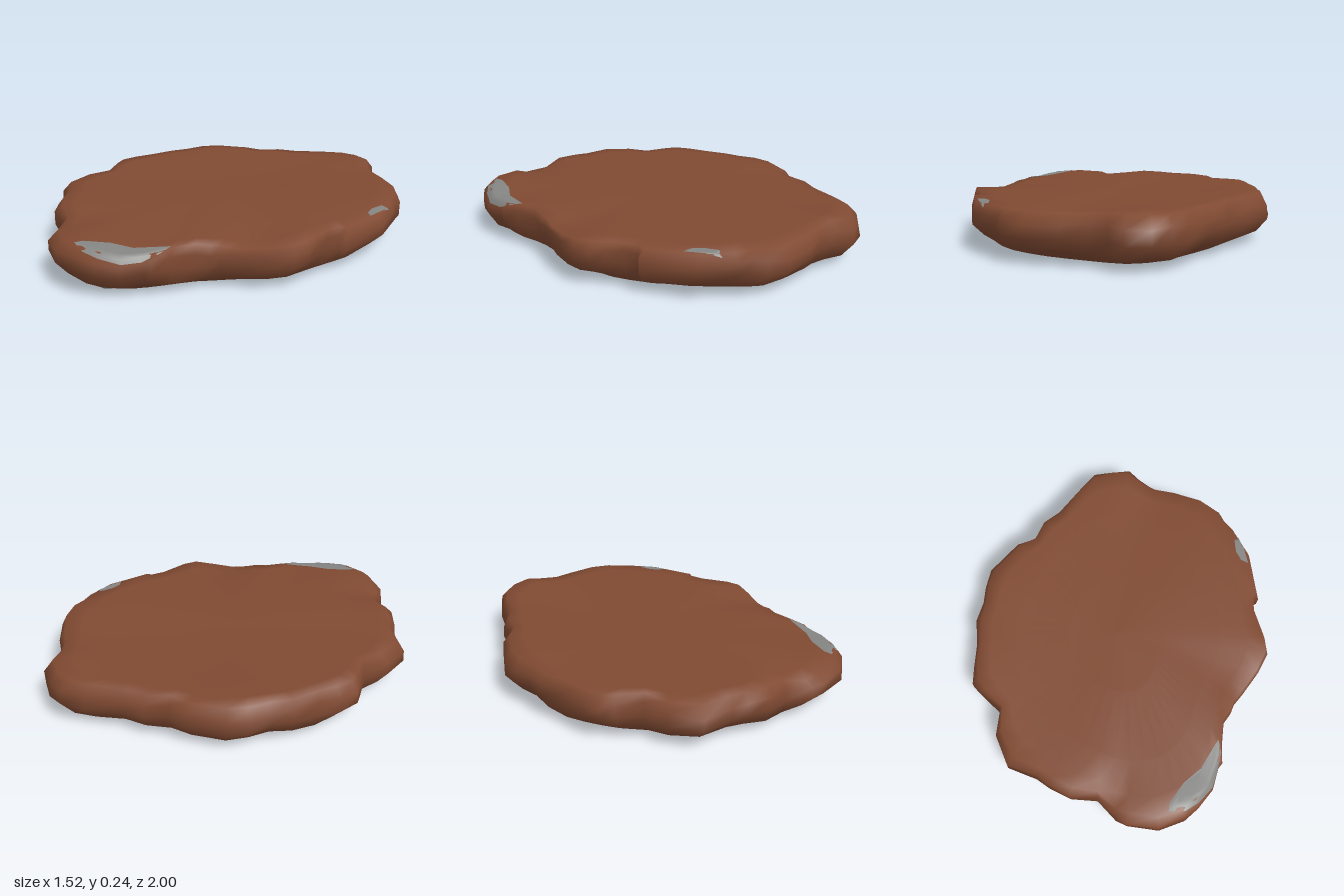
import * as THREE from 'three';

// Plan outline of the slab, (x, z), starting at the back and passing the +x side
const OUTLINE = [
  [0.04, -1], [0.15, -0.98], [0.2, -0.91], [0.28, -0.85], [0.39, -0.82], [0.54, -0.75], [0.62, -0.67],
  [0.64, -0.61], [0.68, -0.56], [0.75, -0.4], [0.76, -0.14], [0.73, -0.13], [0.72, -0.06], [0.74, 0.02],
  [0.76, 0.09], [0.76, 0.17], [0.7, 0.26], [0.61, 0.36], [0.55, 0.42], [0.53, 0.46], [0.485, 0.51],
  [0.46, 0.62], [0.45, 0.71], [0.43, 0.73], [0.39, 0.83], [0.31, 0.91], [0.24, 0.96], [0.11, 0.995],
  [-0.04, 0.96], [-0.09, 0.93], [-0.17, 0.83], [-0.3, 0.81], [-0.4, 0.75], [-0.46, 0.7], [-0.6, 0.63],
  [-0.65, 0.48], [-0.63, 0.35], [-0.72, 0.25], [-0.76, 0.2], [-0.76, 0.11], [-0.74, 0], [-0.73, -0.14],
  [-0.7, -0.24], [-0.69, -0.34], [-0.65, -0.43], [-0.5, -0.57], [-0.41, -0.6], [-0.35, -0.7],
  [-0.26, -0.76], [-0.14, -0.9], [-0.05, -0.98],
];

// Rings from underside to top: [scale, height, outline smoothing 0..1, top amount 0..1]
const RINGS = [
  [0.45, 0.018, 1, 0], [0.8, 0.018, 1, 0], [0.89, 0.02, 0.9, 0], [0.965, 0.058, 0.4, 0],
  [1, 0.122, 0, 0], [0.99, 0.182, 0, 0.4], [0.955, 0.228, 0.15, 1], [0.88, 0.23, 0.4, 1],
  [0.72, 0.228, 0.8, 1], [0.35, 0.226, 1, 1],
];

const bump = (x, z, cx, cz, w) => Math.exp(-((x - cx) ** 2 + (z - cz) ** 2) / (w * w));

// Local dents and swellings of the top and underside
function reliefTop(x, z) {
  return 0.016 * bump(x, z, 0.12, -0.88, 0.14) - 0.045 * bump(x, z, -0.12, 0.85, 0.09)
    - 0.03 * bump(x, z, 0.6, 0.3, 0.13) - 0.022 * bump(x, z, 0.4, 0.78, 0.14)
    + 0.008 * bump(x, z, -0.58, -0.35, 0.15) + 0.004 * Math.sin(7 * x + 4 * z);
}
const reliefBottom = (x, z) =>
  -0.018 * bump(x, z, 0.27, 0.76, 0.15) - 0.009 * bump(x, z, 0.05, -0.84, 0.18);

function slabGeometry() {
  const n = OUTLINE.length;
  const smooth = OUTLINE.map((_, i) => {
    const sum = [0, 0];
    for (let k = -3; k <= 3; k++) {
      const p = OUTLINE[(i + k + n) % n];
      sum[0] += p[0] / 7;
      sum[1] += p[1] / 7;
    }
    return sum;
  });
  const pos = [];
  const index = [];
  RINGS.forEach(([scale, height, blend, top], k) => {
    OUTLINE.forEach((p, i) => {
      let x = THREE.MathUtils.lerp(p[0], smooth[i][0], blend);
      let z = THREE.MathUtils.lerp(p[1], smooth[i][1], blend);
      // The +x side stands upright, the back leans in
      const lean = k === 6 || k === 5 ? 0.035 * x / Math.hypot(x, z) * (x > 0 ? 1 : 0) : 0;
      const chip = k > 2 && k < 6 && k !== 4 ? 0.008 * Math.sin(i * 1.9 + k * 2.3) : 0;
      const s = Math.min(scale + lean + chip, 1);
      x *= s;
      z *= s;
      const wave = k > 2 && k < 6 ? 0.01 * Math.sin(i * 1.3 + k) : 0;
      const y = height + wave + top * reliefTop(x, z) + (k < 4 ? reliefBottom(x, z) : 0);
      pos.push(x, Math.max(y, 0), z);
    });
  });
  for (let k = 0; k < RINGS.length - 1; k++) {
    for (let i = 0; i < n; i++) {
      const j = (i + 1) % n;
      const a = k * n + i, b = k * n + j, c = a + n, d = b + n;
      index.push(a, c, b, b, c, d);
    }
  }
  // Close the underside and the top
  const low = pos.length / 3, high = low + 1, last = (RINGS.length - 1) * n;
  pos.push(0, 0.018, 0, 0, 0.225, 0);
  for (let i = 0; i < n; i++) {
    const j = (i + 1) % n;
    index.push(low, i, j, high, last + j, last + i);
  }
  const g = new THREE.BufferGeometry();
  g.setAttribute('position', new THREE.Float32BufferAttribute(pos, 3));
  g.setIndex(index);
  g.computeVertexNormals();
  return g;
}

// A thin patch draped over the slab, from above (side 1) or below (side -1)
function patchGeometry(points, slab, side) {
  const ray = new THREE.Raycaster();
  const pos = [];
  const index = [];
  const n = points.length, steps = 6;
  const cx = points.reduce((s, p) => s + p[0], 0) / n;
  const cz = points.reduce((s, p) => s + p[1], 0) / n;
  const drape = (x, z) => {
    ray.set(new THREE.Vector3(x, side * 2, z), new THREE.Vector3(0, -side, 0));
    const hit = ray.intersectObject(slab)[0];
    const p = hit ? hit.point.addScaledVector(hit.face.normal, 0.004) : new THREE.Vector3(x, 0.18, z);
    pos.push(p.x, Math.max(p.y, 0), p.z);
  };
  drape(cx, cz);
  for (let k = 1; k <= steps; k++) {
    for (const [x, z] of points) drape(cx + (x - cx) * k / steps, cz + (z - cz) * k / steps);
  }
  for (let i = 0; i < n; i++) {
    const j = (i + 1) % n;
    const add = (a, b, c) => (side > 0 ? index.push(a, b, c) : index.push(a, c, b));
    add(0, 1 + j, 1 + i);
    for (let k = 0; k < steps - 1; k++) {
      const a = 1 + k * n + i, b = 1 + k * n + j;
      add(a, b, a + n);
      add(b, b + n, a + n);
    }
  }
  const g = new THREE.BufferGeometry();
  g.setAttribute('position', new THREE.Float32BufferAttribute(pos, 3));
  g.setIndex(index);
  g.computeVertexNormals();
  return g;
}

export function createModel() {
  const group = new THREE.Group();
  group.name = 'stoneSlab';
  const brown = new THREE.MeshStandardMaterial({ color: 0x804a32 });
  brown.name = 'brownStone';
  const grey = new THREE.MeshStandardMaterial({ color: 0x858583, side: THREE.DoubleSide });
  grey.name = 'greyStone';

  const slab = new THREE.Mesh(slabGeometry(), brown);
  slab.name = 'slab';
  group.add(slab);

  // Bare grey stone showing at the edges
  const patches = [
    ['frontPatch', 1, [[0.44, 0.6], [0.445, 0.66], [0.42, 0.74], [0.385, 0.82], [0.31, 0.885], [0.24, 0.92],
      [0.16, 0.92], [0.17, 0.88], [0.25, 0.79], [0.34, 0.73], [0.4, 0.65]]],
    ['sidePatch', 1, [[0.67, -0.47], [0.695, -0.49], [0.715, -0.42], [0.725, -0.33], [0.69, -0.35], [0.67, -0.4]]],
    ['undersidePatch', -1, [[0.22, 0.77], [0.28, 0.76], [0.31, 0.81], [0.29, 0.86], [0.23, 0.87], [0.2, 0.83]]],
  ];
  for (const [name, side, points] of patches) {
    const mesh = new THREE.Mesh(patchGeometry(points, slab, side), grey);
    mesh.name = name;
    group.add(mesh);
  }
  return group;
}
